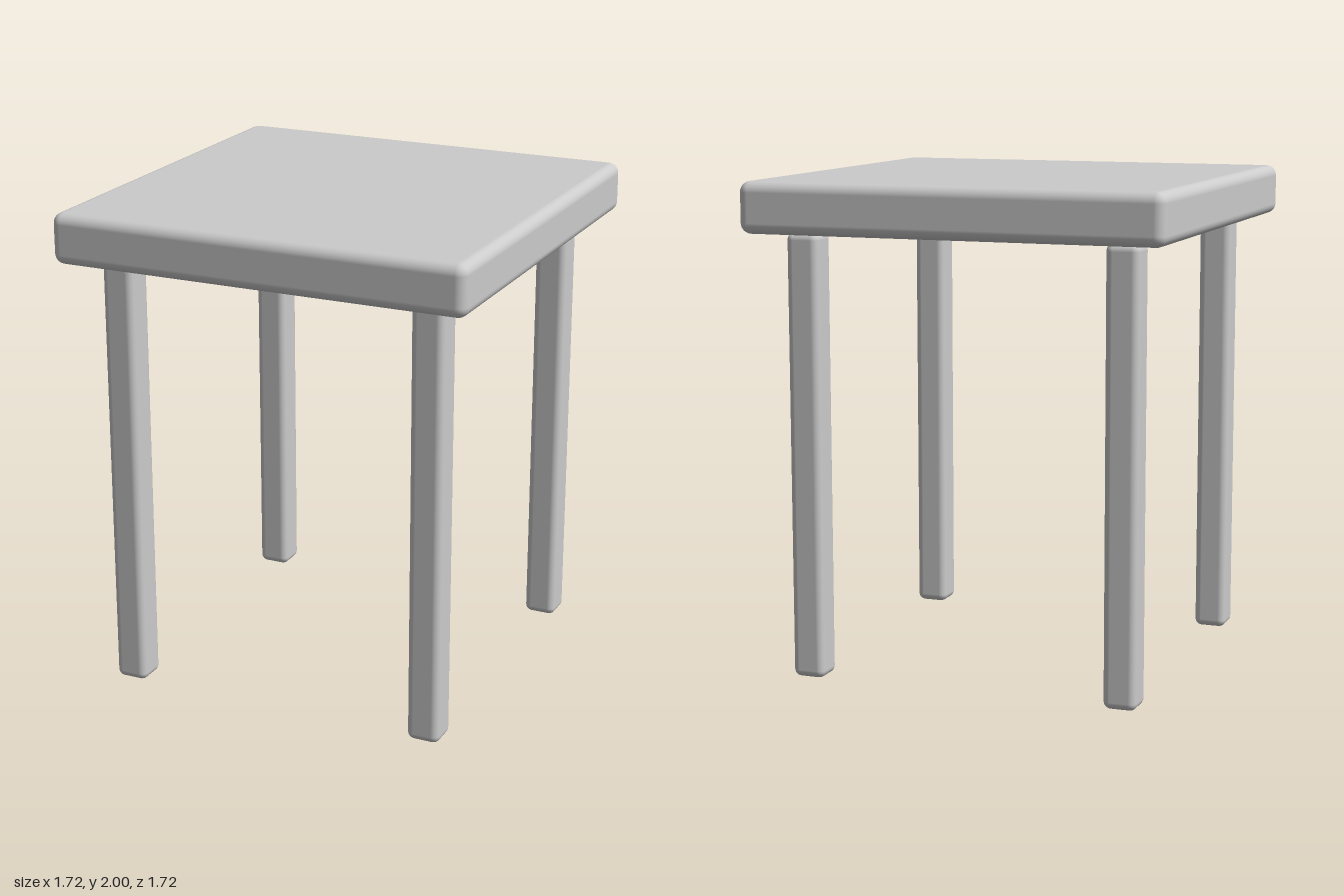
import * as THREE from 'three';
import { RoundedBoxGeometry } from 'three/addons/geometries/RoundedBoxGeometry.js';

export function createModel() {
  const model = new THREE.Group();
  model.name = 'stool';
  const material = new THREE.MeshStandardMaterial({ color: 0xcccccc });

  const topThickness = 0.205, topWidth = 1.72;
  const legHeight = 2 - topThickness, legWidth = 0.135, legOffset = 0.655;

  // Thick square top with rounded edges
  const top = new THREE.Mesh(new RoundedBoxGeometry(topWidth, topThickness, topWidth, 4, 0.043), material);
  top.name = 'top';
  top.position.y = legHeight + topThickness / 2;
  model.add(top);

  // Four square legs, rounded at both ends
  const legGeometry = new RoundedBoxGeometry(legWidth, legHeight, legWidth, 4, 0.03);
  for (const [zSign, depth] of [[1, 'front'], [-1, 'back']]) {
    for (const [xSign, side] of [[1, 'Left'], [-1, 'Right']]) {
      const leg = new THREE.Mesh(legGeometry, material);
      leg.name = `${depth}${side}Leg`;
      leg.position.set(xSign * legOffset, legHeight / 2, zSign * legOffset);
      model.add(leg);
    }
  }
  return model;
}
